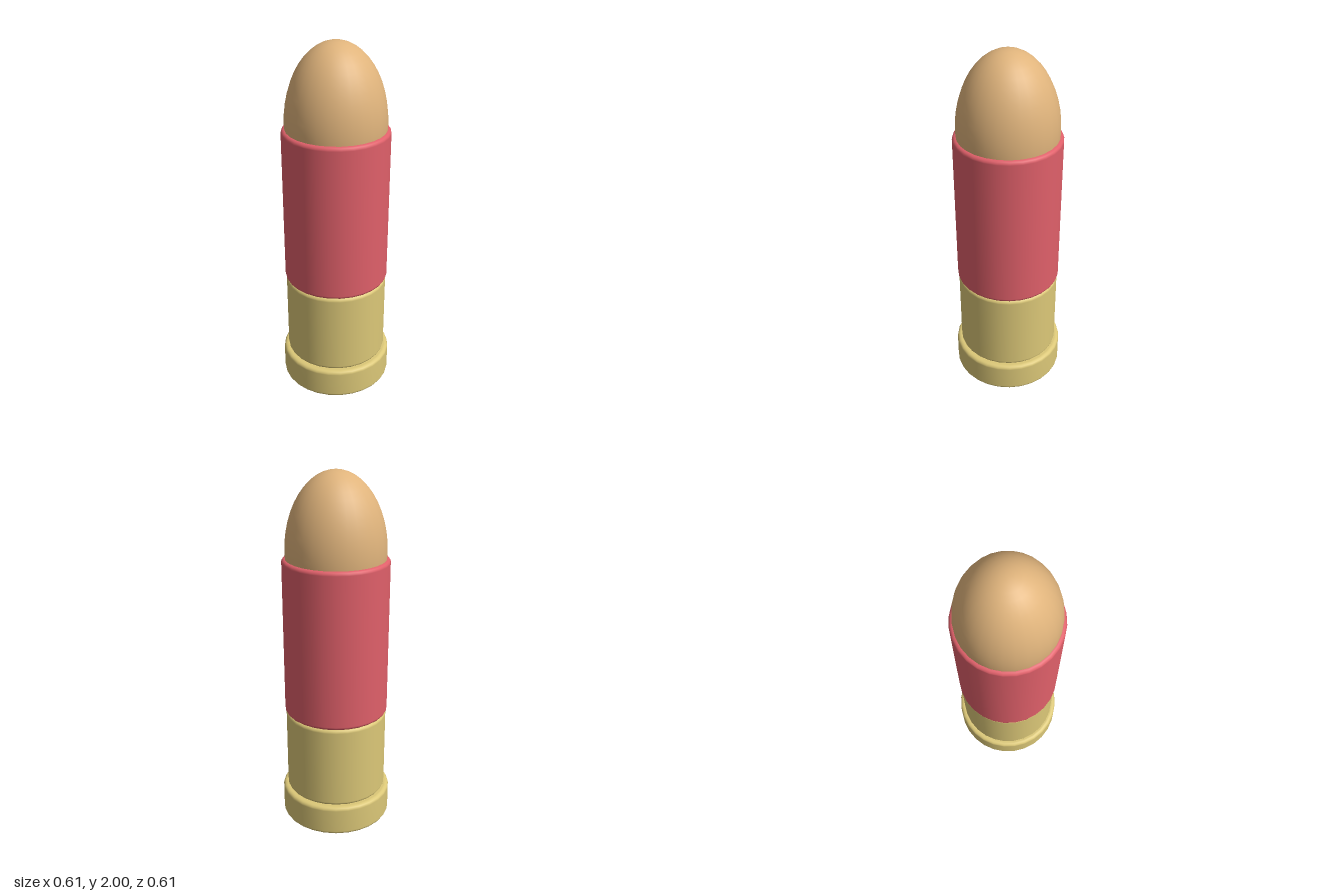
import * as THREE from 'three';

const SIDES = 28;

export function createModel() {
  const group = new THREE.Group();
  const material = (name, color) => {
    const m = new THREE.MeshStandardMaterial({ color });
    m.name = name;
    return m;
  };
  const brass = material('brass', 0xdcc878);
  const red = material('red', 0xe0606a);
  const copper = material('copper', 0xe0b47c);
  const steel = material('steel', 0xc0c0c4);

  const add = (name, geometry, mat) => {
    const mesh = new THREE.Mesh(geometry, mat);
    mesh.name = name;
    group.add(mesh);
    return mesh;
  };

  // Closed cylinder with rounded rims, turned from a profile
  const roundedCylinder = (radius, y0, y1, bevel) => {
    const points = [new THREE.Vector2(0, y0), new THREE.Vector2(radius - bevel * 1.1, y0)];
    for (const [y, start] of [[y0 + bevel, -Math.PI / 2], [y1 - bevel, 0]]) {
      for (let i = 0; i <= 4; i++) {
        const a = start + (i / 4) * Math.PI / 2;
        points.push(new THREE.Vector2(radius - bevel + bevel * Math.cos(a), y + bevel * Math.sin(a)));
      }
    }
    points.push(new THREE.Vector2(radius - bevel * 1.1, y1), new THREE.Vector2(0, y1));
    return new THREE.LatheGeometry(points, SIDES);
  };

  // Stacked casing
  add('rim', roundedCylinder(0.307, 0.035, 0.208, 0.02), brass);
  add('case', roundedCylinder(0.28, 0.208, 0.68, 0.02), brass);
  add('sleeve', roundedCylinder(0.286, 0.68, 1.55, 0.02), red);

  // Domed tip, its lower half hidden in the sleeve
  const tip = add('tip', new THREE.SphereGeometry(0.268, SIDES, 24), copper);
  tip.scale.y = 0.42 / 0.268;
  tip.position.y = 1.58;

  // Small disc under the rim, softly shaded across its edge
  const disc = [[0, 0], [0.13, 0], [0.13, 0.05]].map(([x, y]) => new THREE.Vector2(x, y));
  add('primer', new THREE.LatheGeometry(disc, SIDES), steel);

  return group;
}
